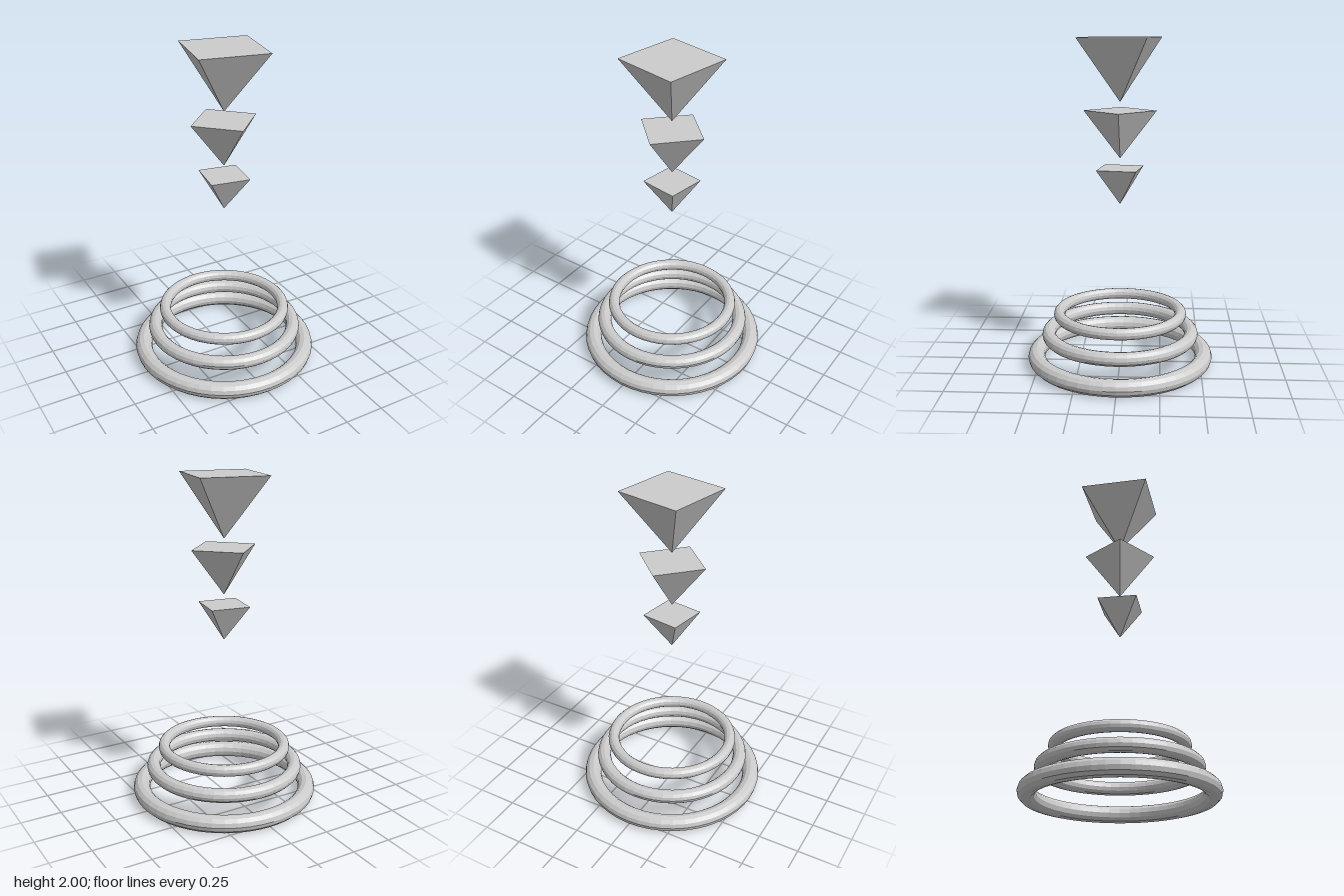
import * as THREE from 'three';

export function createModel() {
  const model = new THREE.Group();
  const material = new THREE.MeshStandardMaterial({ color: 0xcccccc, flatShading: true });

  const add = (name, geometry, y) => {
    const mesh = new THREE.Mesh(geometry, material);
    mesh.name = name;
    mesh.position.y = y;
    model.add(mesh);
  };

  // Stacked floating rings: [name, ring radius, tube radius, centre height]
  const rings = [
    ['lowerRing', 0.521, 0.052, 0.052],
    ['middleRing', 0.442, 0.042, 0.193],
    ['upperRing', 0.375, 0.035, 0.32],
  ];
  for (const [name, radius, tube, y] of rings) {
    add(name, new THREE.TorusGeometry(radius, tube, 12, 48).rotateX(Math.PI / 2), y);
  }

  // Inverted square pyramids: [name, corner radius, tip height, top height, turn in degrees]
  const pyramids = [
    ['lowerPyramid', 0.169, 1.01, 1.23, 35.5],
    ['middlePyramid', 0.217, 1.29, 1.575, 0],
    ['upperPyramid', 0.293, 1.625, 2, 33.3],
  ];
  for (const [name, radius, tip, top, turn] of pyramids) {
    const geometry = new THREE.ConeGeometry(radius, top - tip, 4)
      .rotateX(Math.PI)
      .rotateY(THREE.MathUtils.degToRad(turn));
    add(name, geometry, (tip + top) / 2);
  }

  return model;
}
